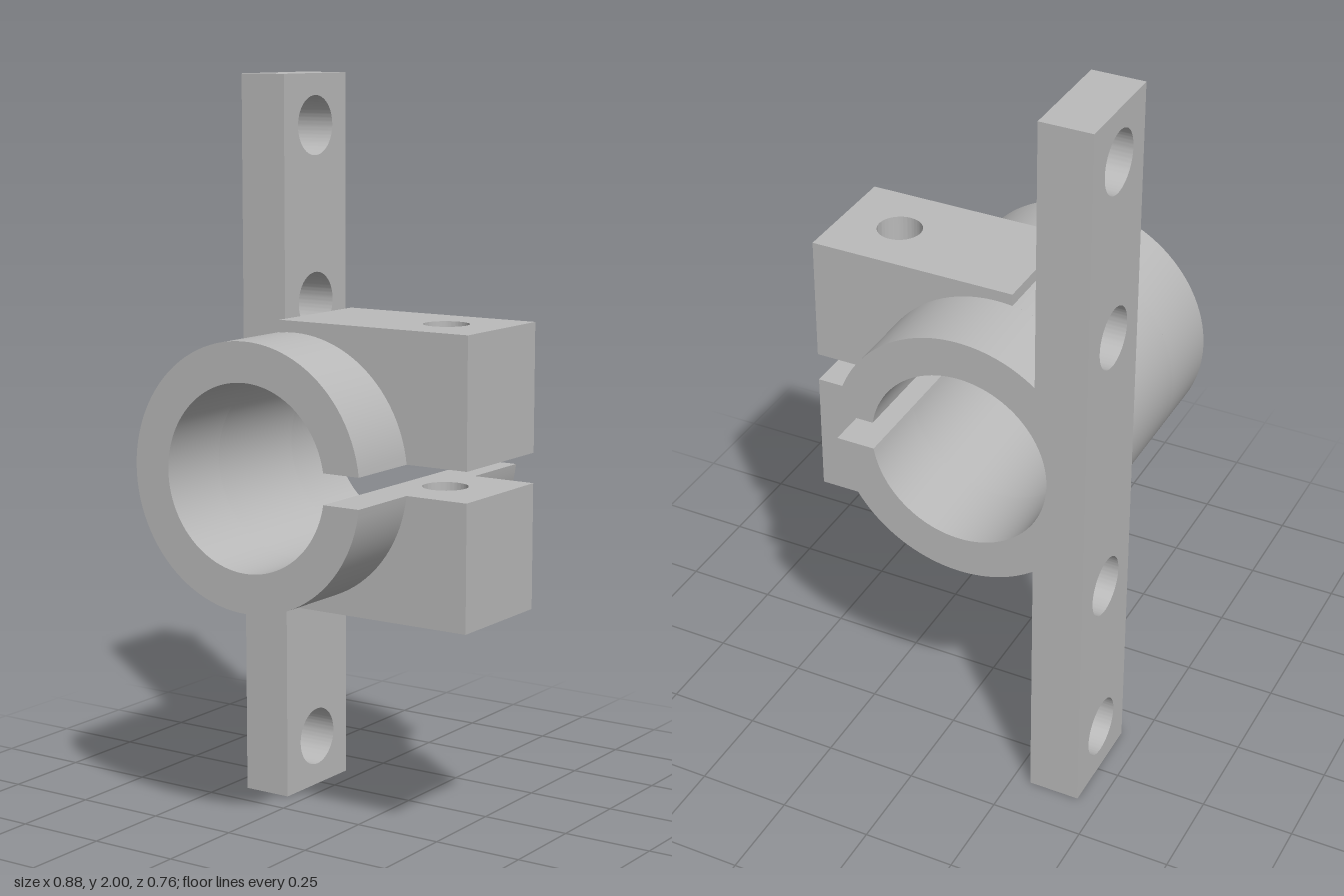
import * as THREE from 'three';
import { toCreasedNormals } from 'three/addons/utils/BufferGeometryUtils.js';

const CX = -0.09, CY = 1;            // bore axis
const RO = 0.35, RI = 0.245;         // sleeve radii
const SLIT = 0.04, HALF = 0.38;      // half slit height, half sleeve length
const JAW_Z = 0.165, JAW_X = 0.435;  // half jaw width, outer jaw face
const PX0 = -0.44, PX1 = -0.3;       // mounting bar thickness

export function createModel() {
  const model = new THREE.Group();
  const steel = new THREE.MeshStandardMaterial({ color: 0xbababa });
  steel.name = 'grey steel';

  const add = (name, geometry) => {
    const mesh = new THREE.Mesh(geometry, steel);
    mesh.name = name;
    model.add(mesh);
  };
  const extrude = (shape, depth) => toCreasedNormals(
    new THREE.ExtrudeGeometry(shape, { depth, bevelEnabled: false, curveSegments: 48 }), 0.5);
  const alongZ = (shape, z0, z1) => extrude(shape, z1 - z0).translate(0, 0, z0);
  const alongY = (shape, y0, y1) => extrude(shape, y1 - y0).rotateX(-Math.PI / 2).translate(0, y0, 0);
  const alongX = (shape, x0, x1) => extrude(shape, x1 - x0).rotateY(Math.PI / 2).translate(x0, 0, 0);

  // Rectangle with round holes given as [x, y, radius]
  const plate = (x0, y0, x1, y1, holes = []) => {
    const s = new THREE.Shape();
    s.moveTo(x0, y0).lineTo(x1, y0).lineTo(x1, y1).lineTo(x0, y1).closePath();
    for (const [x, y, r] of holes) s.holes.push(new THREE.Path().absarc(x, y, r, 0, Math.PI * 2, true));
    return s;
  };

  // Split sleeve ends
  const ao = Math.asin(SLIT / RO), ai = Math.asin(SLIT / RI);
  const sleeve = new THREE.Shape();
  sleeve.absarc(CX, CY, RO, ao, Math.PI * 2 - ao, false);
  sleeve.absarc(CX, CY, RI, -ai, ai - Math.PI * 2, true);
  sleeve.closePath();
  add('sleeveFront', alongZ(sleeve, JAW_Z, HALF));
  add('sleeveBack', alongZ(sleeve, -HALF, -JAW_Z));

  // Middle of the sleeve merged with the inner parts of both jaws
  const xb = CX + RI * Math.cos(ai);
  const topX = -0.135, lowX = -0.085, topY = 1.38, lowY = 0.625;
  const collar = new THREE.Shape();
  collar.moveTo(xb, CY + SLIT).lineTo(xb, topY).lineTo(topX, topY);
  collar.absarc(CX, CY, RO, Math.acos((topX - CX) / RO), Math.PI * 2 - Math.acos((lowX - CX) / RO), false);
  collar.lineTo(lowX, lowY).lineTo(xb, lowY).lineTo(xb, CY - SLIT);
  collar.absarc(CX, CY, RI, -ai, ai - Math.PI * 2, true);
  collar.closePath();
  add('clampCollar', alongZ(collar, -JAW_Z, JAW_Z));

  // Clamp jaws: screw hole through the upper one, blind in the lower one
  const drilled = plate(xb, -JAW_Z, JAW_X, JAW_Z, [[0.27, 0, 0.06]]);
  const floorY = 0.75;
  add('upperJaw', alongY(drilled, CY + SLIT, topY));
  add('lowerJaw', alongY(drilled, floorY, CY - SLIT));
  add('lowerJawBase', alongY(plate(xb, -JAW_Z, JAW_X, JAW_Z), lowY, floorY));

  // Mounting bar arms with bolt holes
  const zNear = 0.09, zMid = 0.235, r = 0.081;
  add('barLower', alongX(plate(zNear, 0, HALF, 0.71, [[zMid, 0.14, r], [zMid, 0.62, r]]), PX0, PX1));
  add('barUpper', alongX(plate(zNear, 1.29, HALF, 2, [[zMid, 1.38, r], [zMid, 1.86, r]]), PX0, PX1));

  // Bar middle, hollowed so the bore stays clear
  const rm = 0.3, am = Math.acos((PX1 - CX) / rm);
  const web = new THREE.Shape();
  web.moveTo(PX0, 0.71).lineTo(PX1, 0.71);
  web.absarc(CX, CY, rm, -am, am - Math.PI * 2, true);
  web.lineTo(PX1, 1.29).lineTo(PX0, 1.29).closePath();
  add('barMiddle', alongZ(web, -HALF, -zNear));

  return model;
}
